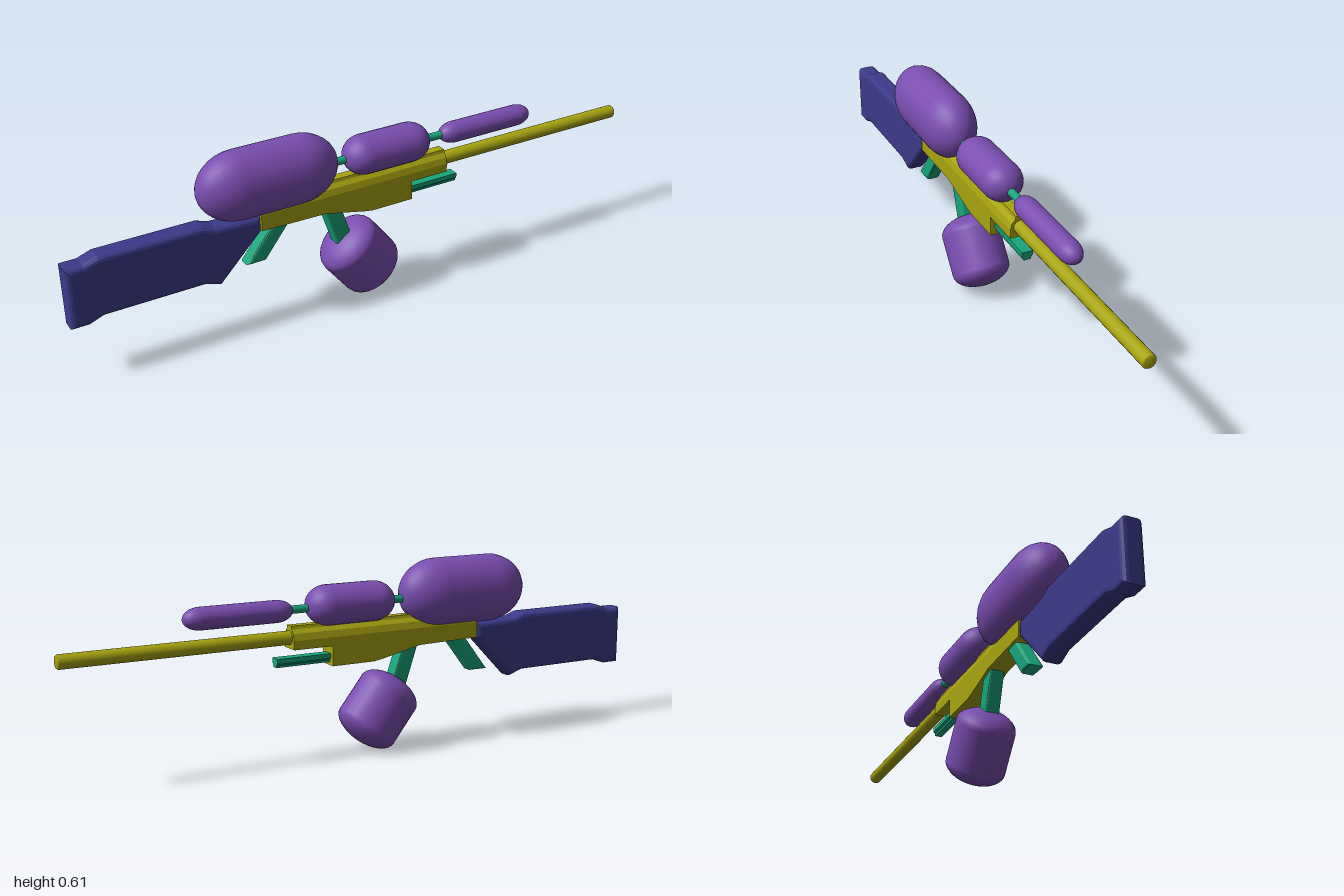
import * as THREE from 'three';

const PURPLE = new THREE.MeshStandardMaterial({ color: 0x7a4db0 });
const BLUE = new THREE.MeshStandardMaterial({ color: 0x3c3a8a });
const YELLOW = new THREE.MeshStandardMaterial({ color: 0xa8a410 });
const GREEN = new THREE.MeshStandardMaterial({ color: 0x18a57c });

const toShape = (pts) => new THREE.Shape(pts.map(([x, y]) => new THREE.Vector2(x, y)));

export function createModel() {
  const model = new THREE.Group();
  model.name = 'tankRifle';

  function add(name, geometry, material) {
    const mesh = new THREE.Mesh(geometry, material);
    mesh.name = name;
    model.add(mesh);
    return mesh;
  }

  // Side profile in x, y, extruded to a half width in z with softened edges
  function plate(name, pts, half, bevel, material) {
    const g = new THREE.ExtrudeGeometry(toShape(pts), {
      depth: 2 * (half - bevel), bevelEnabled: bevel > 0, bevelThickness: bevel,
      bevelSize: bevel, bevelOffset: -bevel, bevelSegments: 3,
    });
    g.translate(0, 0, bevel - half);
    return add(name, g, material);
  }

  // Half cross-section in z, y, mirrored and extruded along x
  function rail(name, halfPts, x0, x1, material) {
    const mirrored = halfPts.map(([z, y]) => [-z, y]).reverse();
    const g = new THREE.ExtrudeGeometry(toShape([...halfPts, ...mirrored]), { depth: x1 - x0, bevelEnabled: false });
    g.rotateY(Math.PI / 2).translate(x0, 0, 0);
    return add(name, g, material);
  }

  // Tank along x with elliptical end caps, centred on its own origin
  function tank(name, length, cap, ry, rz) {
    const pts = [];
    const steps = 8, body = length / 2 - cap;
    for (const side of [-1, 1]) {
      for (let i = 0; i <= steps; i++) {
        const a = (side < 0 ? i : steps - i) / steps * Math.PI / 2;
        pts.push(new THREE.Vector2(Math.sin(a), side * (body + cap * Math.cos(a))));
      }
    }
    const g = new THREE.LatheGeometry(pts, 24);
    g.rotateZ(-Math.PI / 2).scale(1, ry, rz);
    return add(name, g, PURPLE);
  }

  // Round rod along x
  function rod(name, x0, x1, y, r, material) {
    const g = new THREE.CylinderGeometry(r, r, x1 - x0, 16);
    g.rotateZ(-Math.PI / 2).translate((x0 + x1) / 2, y, 0);
    return add(name, g, material);
  }

  // Row of tanks above the receiver, joined by short pipes
  tank('rearTank', 0.465, 0.135, 0.112, 0.09).position.set(-0.348, 0.497, 0);
  tank('middleTank', 0.305, 0.07, 0.064, 0.067).position.set(0.068, 0.487, 0);
  tank('frontTank', 0.355, 0.055, 0.035, 0.036).position.set(0.447, 0.481, 0);
  rod('rearTankPipe', -0.16, -0.05, 0.485, 0.013, GREEN);
  rod('frontTankPipe', 0.18, 0.3, 0.482, 0.013, GREEN);

  // Tilted tank below, on its feed neck
  const lower = tank('lowerTank', 0.24, 0.055, 0.107, 0.094);
  lower.position.set(-0.032, 0.131, 0);
  lower.rotation.z = -0.9;
  plate('lowerTankNeck', [[-0.17, 0.34], [-0.12, 0.19], [-0.06, 0.19], [-0.11, 0.34]], 0.024, 0.008, GREEN);

  // Receiver: stepped lower body and chamfered upper housing with a top ridge
  plate('receiverBody', [
    [-0.39, 0.365], [-0.39, 0.338], [-0.17, 0.334], [-0.03, 0.303],
    [0.0, 0.298], [0.147, 0.298], [0.147, 0.365],
  ], 0.033, 0, YELLOW);
  rail('receiverHousing', [
    [0.033, 0.362], [0.033, 0.39], [0.028, 0.411], [0.017, 0.424], [0.015, 0.434],
  ], -0.39, 0.28, YELLOW);

  // Barrel with a slightly chamfered muzzle
  const barrelProfile = [[0, 0.25], [0.022, 0.25], [0.022, 0.995], [0.018, 1], [0, 1]];
  const barrel = new THREE.LatheGeometry(barrelProfile.map(([r, h]) => new THREE.Vector2(r, h)), 20);
  barrel.rotateZ(-Math.PI / 2).translate(0, 0.396, 0);
  add('barrel', barrel, YELLOW);

  // Fore rail with a T-shaped section
  rail('foreRail', [
    [0.012, 0.308], [0.012, 0.315], [0.018, 0.321], [0.018, 0.336],
  ], 0.14, 0.33, GREEN);

  // Slanted rear grip
  plate('rearGrip', [[-0.345, 0.35], [-0.44, 0.225], [-0.375, 0.225], [-0.28, 0.35]], 0.024, 0.01, GREEN);

  // Shoulder stock
  plate('stock', [
    [-1, 0.388], [-1, 0.19], [-0.945, 0.19], [-0.9, 0.207], [-0.58, 0.207], [-0.53, 0.19],
    [-0.39, 0.335], [-0.39, 0.385], [-0.54, 0.39], [-0.58, 0.404], [-0.9, 0.404], [-0.945, 0.388],
  ], 0.034, 0.016, BLUE);

  return model;
}
